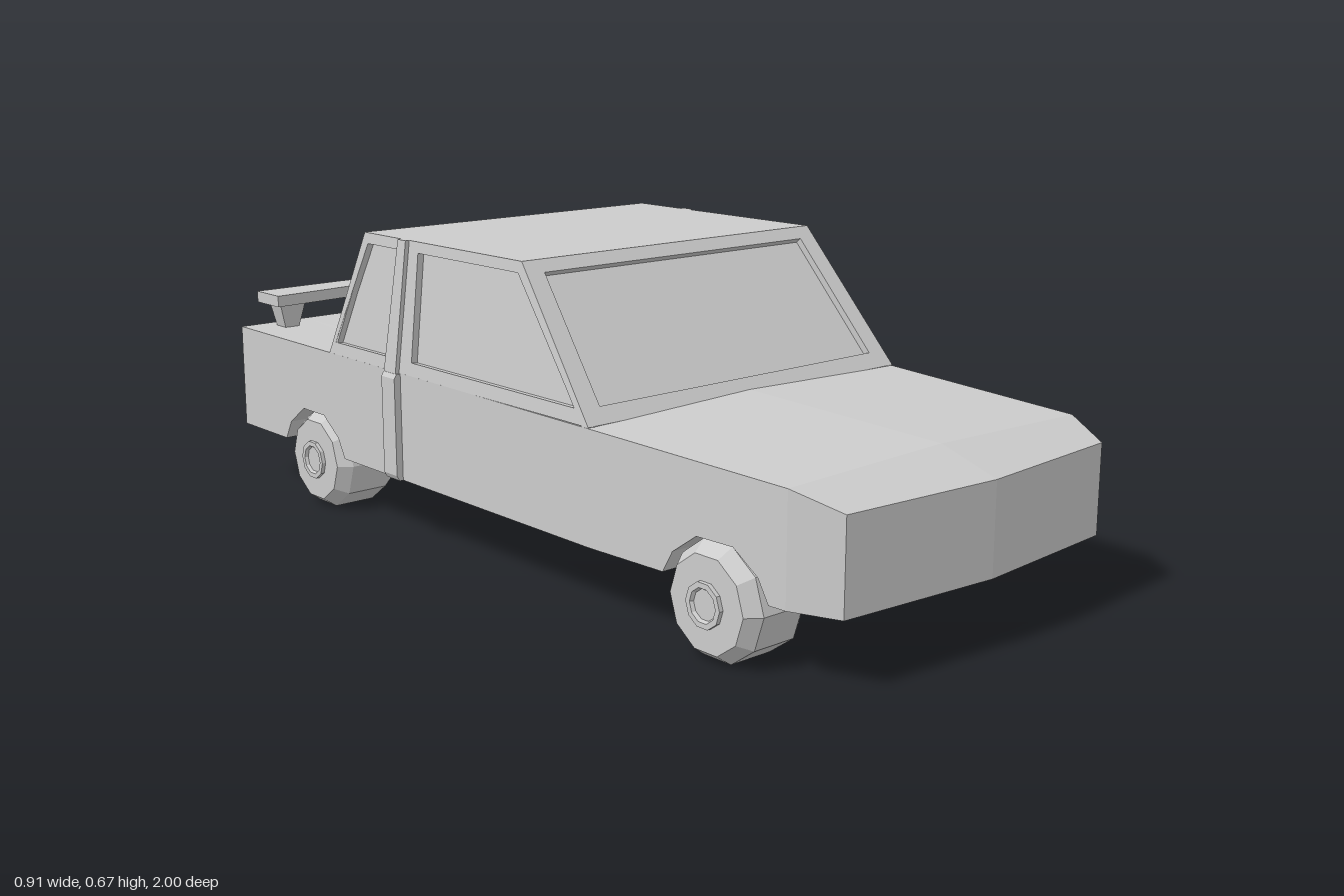
import * as THREE from 'three';
import { ConvexGeometry } from 'three/addons/geometries/ConvexGeometry.js';

const mat = new THREE.MeshStandardMaterial({ color: 0xcccccc, flatShading: true });
const V = (x, y, z) => new THREE.Vector3(x, y, z);
const FLOOR = 0.14, DECK = 0.385, ROOF = 0.67, HALF = 0.44, ROOF_HALF = 0.41;
const COWL_Z = 0.37, HOOD_Z = 0.87, TAIL_Z = -0.965;
const WHEEL_Z = [0.7, -0.64];

export function createModel() {
  const car = new THREE.Group();
  car.name = 'car';

  const add = (name, geo, parent = car) => {
    const mesh = new THREE.Mesh(geo, mat);
    mesh.name = name;
    parent.add(mesh);
    return mesh;
  };
  const hull = (name, pts, parent) => add(name, new ConvexGeometry(pts), parent);

  // Body slab: a (z, y) side profile extruded from x0 to x1, with the hood tapered and crowned
  const slab = (name, profile, x0, x1) => {
    const shape = new THREE.Shape(profile.map(([z, y]) => new THREE.Vector2(-z, y)));
    const geo = new THREE.ExtrudeGeometry(shape, { depth: x1 - x0, bevelEnabled: false });
    geo.translate(0, 0, x0).rotateY(Math.PI / 2);
    const p = geo.attributes.position;
    for (let i = 0; i < p.count; i++) {
      const x = p.getX(i), z = p.getZ(i);
      const t = Math.max(0, (z - COWL_Z) / (HOOD_Z - COWL_Z));
      if (z > COWL_Z - 0.01 && p.getY(i) > 0.3) p.setY(i, p.getY(i) + 0.01 * (1 - Math.abs(x) / HALF));
      p.setX(i, x * (1 - t * 0.03 / HALF));
    }
    geo.computeVertexNormals();
    return add(name, geo);
  };

  // Lower edge of a body section, with an optional wheel arch (running from rear to front)
  const arch = [[-0.13, FLOOR], [-0.105, 0.185], [-0.045, 0.228], [0.045, 0.228], [0.105, 0.185], [0.13, FLOOR]];
  const section = (zBack, zFront, yBack, yFront, wheelZ) => {
    const notch = wheelZ === null ? [] : arch.map(([z, y]) => [z + wheelZ, y]);
    return [[zFront, FLOOR], [zFront, yFront], [zBack, yBack], [zBack, FLOOR], ...notch];
  };
  const sections = [
    ['hoodSection', COWL_Z, HOOD_Z, 0.378, 0.362, WHEEL_Z[0]],
    ['mainSection', TAIL_Z, COWL_Z, DECK, 0.378, WHEEL_Z[1]],
  ];
  for (const [name, zb, zf, yb, yf, wz] of sections) {
    const solid = section(zb, zf, yb, yf, null), cut = section(zb, zf, yb, yf, wz);
    slab(name + 'CoreLeft', solid, 0, 0.26);
    slab(name + 'CoreRight', solid, -0.26, 0);
    slab(name + 'SideLeft', cut, 0.26, HALF);
    slab(name + 'SideRight', cut, -HALF, -0.26);
  }

  // Pointed nose and faceted tail
  const nose = [V(0, FLOOR, HOOD_Z), V(0, 0.372, HOOD_Z), V(0, FLOOR, 1), V(0, 0.33, 1)];
  const tail = [];
  for (const s of [-1, 1]) {
    nose.push(V(s * 0.41, FLOOR, HOOD_Z), V(s * 0.41, 0.362, HOOD_Z), V(s * 0.37, FLOOR, 0.97), V(s * 0.37, 0.33, 0.97));
    tail.push(V(s * HALF, FLOOR, TAIL_Z), V(s * HALF, DECK, TAIL_Z), V(s * 0.2, 0.19, -1), V(s * 0.2, 0.33, -1));
  }
  hull('nose', nose);
  hull('tail', tail);

  // Cabin panel: flat frame with window openings and glass set back inside them.
  // Corners run counter-clockwise seen from outside.
  const panel = (name, corners, windows) => {
    const group = new THREE.Group();
    group.name = name;
    car.add(group);
    const u = corners[1].clone().sub(corners[0]).normalize();
    const n = u.clone().cross(corners[3].clone().sub(corners[0])).normalize();
    const v = n.clone().cross(u);
    const basis = new THREE.Matrix4().makeBasis(u, v, n).setPosition(corners[0]);
    const flat = pts => pts.map(p => {
      const d = p.clone().sub(corners[0]);
      return new THREE.Vector2(d.dot(u), d.dot(v));
    });
    const depth = 0.018;
    const shape = new THREE.Shape(flat(corners));
    windows.forEach(w => shape.holes.push(new THREE.Path(flat(w))));
    const frame = new THREE.ExtrudeGeometry(shape, { depth, bevelEnabled: false });
    add(name + 'Frame', frame.translate(0, 0, -depth).applyMatrix4(basis), group);
    for (const w of windows) {
      const glass = new THREE.ShapeGeometry(new THREE.Shape(flat(w)));
      add(name + 'Glass', glass.translate(0, 0, -depth * 0.85).applyMatrix4(basis), group);
    }
  };

  const base = 0.38, sill = 0.41, head = 0.646;
  const zFront = y => COWL_Z + (0.13 - COWL_Z) * (y - base) / (ROOF - base);
  const zBack = y => -0.56 + 0.12 * (y - base) / (ROOF - base);
  const xSide = y => HALF + (ROOF_HALF - HALF) * (y - base) / (ROOF - base);

  // Windshield and rear window
  for (const [name, zAt, s] of [['windshield', zFront, 1], ['rearWindow', zBack, -1]]) {
    const quad = (y0, y1, w0, w1) => [
      V(-s * w0, y0, zAt(y0)), V(s * w0, y0, zAt(y0)), V(s * w1, y1, zAt(y1)), V(-s * w1, y1, zAt(y1))];
    panel(name, quad(base, ROOF, HALF, ROOF_HALF), [quad(sill, head, 0.39, 0.368)]);
  }

  // Cabin sides with front and rear windows, and the raised pillar trim
  const frontWindow = [[-0.23, sill], [0.325, sill], [0.12, head], [-0.23, head]];
  const quarterWindow = [[-0.535, sill], [-0.33, sill], [-0.3, head], [-0.425, head]];
  const outline = [[zBack(base), base], [zFront(base), base], [zFront(ROOF), ROOF], [zBack(ROOF), ROOF]];
  for (const s of [-1, 1]) {
    const side = s > 0 ? 'left' : 'right';
    const place = pts => {
      const out = pts.map(([z, y]) => V(s * xSide(y), y, z));
      return s > 0 ? [out[1], out[0], out[3], out[2]] : out;
    };
    panel(side + 'CabinSide', place(outline), [place(frontWindow), place(quarterWindow)]);

    const lower = [], upper = [];
    for (const z of [-0.27, -0.32]) {
      lower.push(V(s * 0.42, FLOOR, z), V(s * 0.449, FLOOR, z), V(s * 0.456, 0.152, z),
        V(s * 0.456, 0.37, z), V(s * 0.45, 0.38, z), V(s * 0.42, 0.38, z));
    }
    for (const [z0, z1] of [[-0.275, -0.265], [-0.32, -0.295]]) {
      upper.push(V(s * 0.425, 0.375, z0), V(s * 0.45, 0.375, z0), V(s * 0.42, ROOF, z1), V(s * 0.4, ROOF, z1));
    }
    hull(side + 'LowerPillarTrim', lower);
    hull(side + 'UpperPillarTrim', upper);
  }

  // Roof
  const roofDepth = zFront(ROOF) - zBack(ROOF);
  const roof = new THREE.BoxGeometry(ROOF_HALF * 2, 0.012, roofDepth);
  add('roof', roof.translate(0, ROOF - 0.006, zBack(ROOF) + roofDepth / 2));

  // Spoiler: bowed blade on two tapered posts
  const blade = new THREE.Shape([[-0.39, 0.97], [0.39, 0.97], [0.39, 0.87], [0, 0.897], [-0.39, 0.87]]
    .map(([x, y]) => new THREE.Vector2(x, -y)).reverse());
  const bladeGeo = new THREE.ExtrudeGeometry(blade, { depth: 0.027, bevelEnabled: false });
  // The plan's y axis carries z, so turn it to lie flat and hang the thickness below the top
  add('spoilerBlade', bladeGeo.rotateX(Math.PI / 2).translate(0, 0.467, 0));
  for (const s of [-1, 1]) {
    const post = [];
    for (const [y, w, z0, z1] of [[0.38, 0.018, -0.885, -0.925], [0.415, 0.02, -0.883, -0.925], [0.445, 0.035, -0.878, -0.93]]) {
      for (const z of [z0, z1]) post.push(V(s * 0.345 - w, y, z), V(s * 0.345 + w, y, z));
    }
    hull(s > 0 ? 'leftSpoilerPost' : 'rightSpoilerPost', post);
  }

  // Ten-sided wheels with chamfered tread and a raised hub ring on both faces
  const half = [[0.118, 0.05], [0.096, 0.08], [0.045, 0.08], [0.045, 0.089], [0.034, 0.089], [0.03, 0.082], [0, 0.082]];
  const wheelProfile = [
    ...half.slice().reverse().map(([r, h]) => new THREE.Vector2(r, -h)),
    ...half.map(([r, h]) => new THREE.Vector2(r, h)),
  ];
  const wheelGeo = new THREE.LatheGeometry(wheelProfile, 10).rotateZ(-Math.PI / 2);
  for (const [i, z] of WHEEL_Z.entries()) {
    for (const s of [-1, 1]) {
      const wheel = add((i ? 'rear' : 'front') + (s > 0 ? 'Left' : 'Right') + 'Wheel', wheelGeo);
      wheel.position.set(s * 0.36, 0.113, z);
    }
  }
  return car;
}
